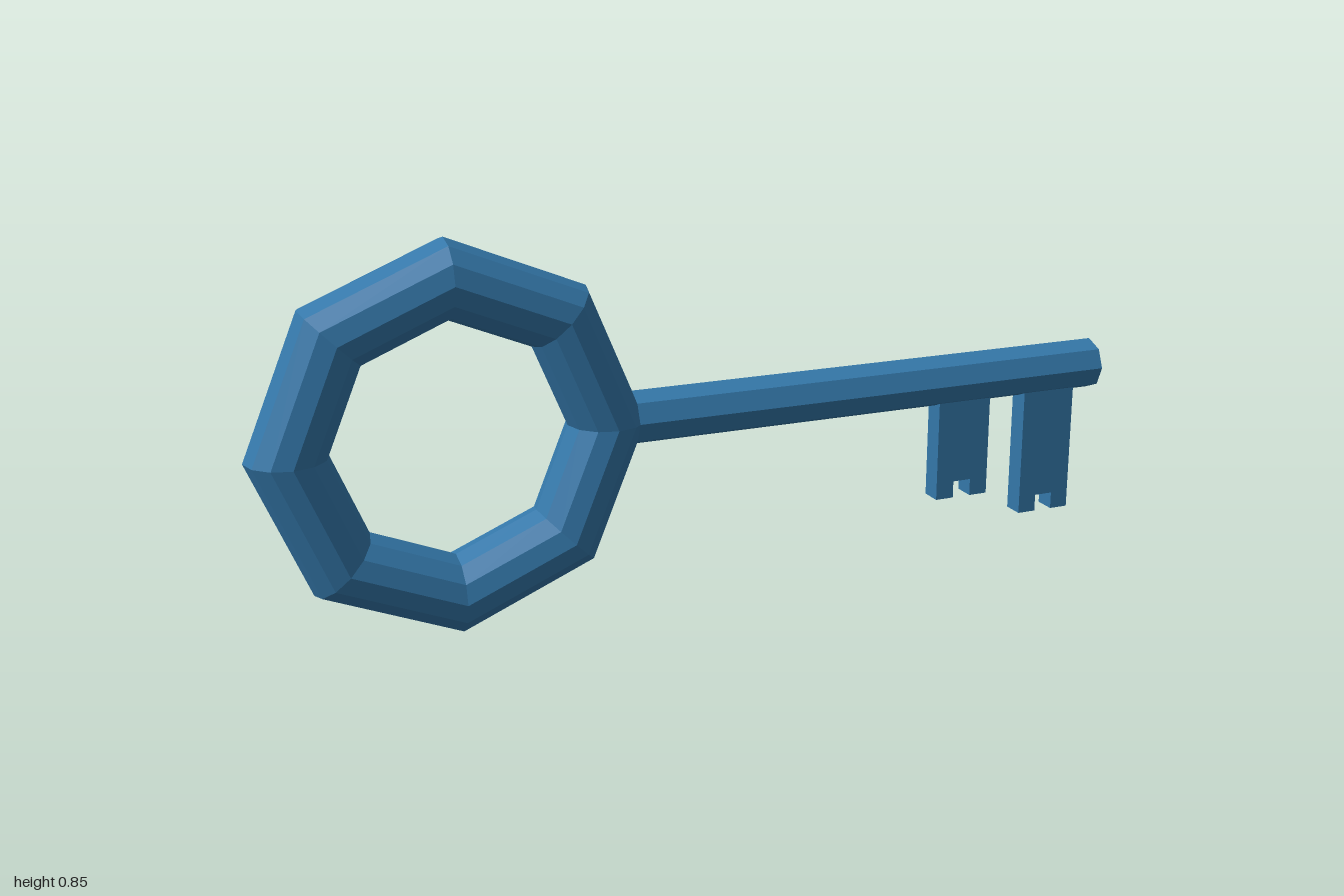
import * as THREE from 'three';

export function createModel() {
  const key = new THREE.Group();
  key.name = 'key';
  const blue = new THREE.MeshStandardMaterial({ color: 0x3478aa, flatShading: true });
  blue.name = 'blue metal';
  const axisY = 0.43;

  const add = (name, geometry, x, y, z = 0) => {
    const mesh = new THREE.Mesh(geometry, blue);
    mesh.name = name;
    mesh.position.set(x, y, z);
    key.add(mesh);
    return mesh;
  };

  // Eight-cornered ring handle with a twelve-sided section
  add('bow', new THREE.TorusGeometry(0.341, 0.086, 12, 8), -0.573, axisY);

  // Octagonal shaft, from the outside of the ring to the tip
  const start = -0.175, end = 1;
  const shaft = new THREE.CylinderGeometry(0.06, 0.06, end - start, 8);
  shaft.rotateZ(-Math.PI / 2);
  add('shaft', shaft, (start + end) / 2, axisY);

  // Flat teeth, each with a square notch in its lower edge
  const width = 0.135, notch = 0.045, notchHeight = 0.04, depth = 0.05, topY = 0.39;
  const addTooth = (name, x, bottomY) => {
    const h = topY - bottomY, a = (width - notch) / 2, b = a + notch;
    const outline = new THREE.Shape([
      [0, 0], [a, 0], [a, notchHeight], [b, notchHeight],
      [b, 0], [width, 0], [width, h], [0, h],
    ].map(([px, py]) => new THREE.Vector2(px, py)));
    add(name, new THREE.ExtrudeGeometry(outline, { depth, bevelEnabled: false }), x, bottomY, -depth / 2);
  };
  addTooth('shortTooth', 0.58, 0.145);
  addTooth('longTooth', 0.81, 0.08);

  return key;
}
